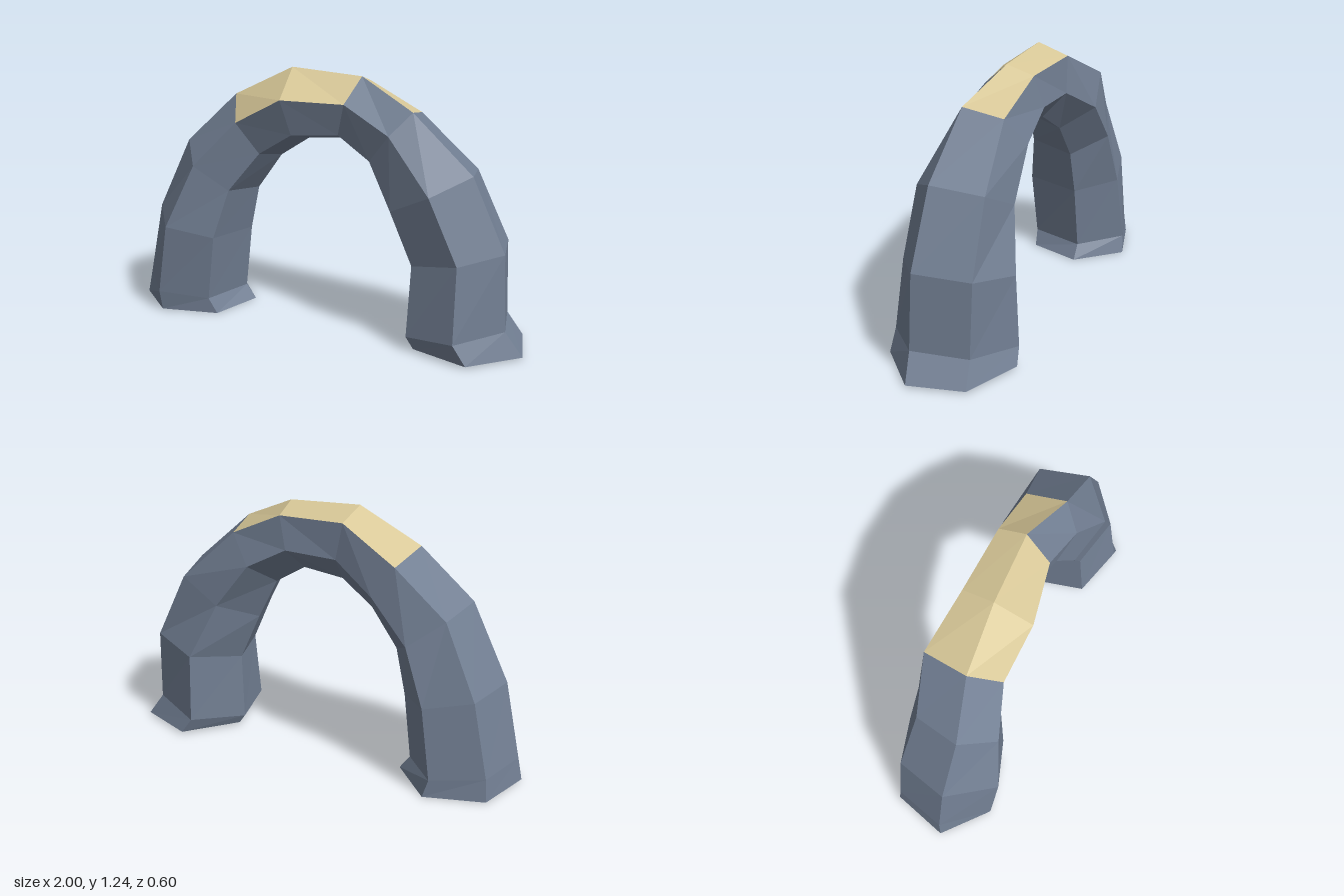
import * as THREE from 'three';

// Six-sided cross-sections from the right foot over the crown to the left foot:
// outer corner x, y, inner corner x, y, then z of outer, front, back and back-outer corners
const RINGS = [
  [-1.0, 0.015, -0.45, 0.01, 0.10, 0.27, -0.26, -0.17],
  [-0.98, 0.13, -0.50, 0.08, 0.09, 0.285, -0.25, -0.16],
  [-0.90, 0.50, -0.46, 0.40, 0.09, 0.30, -0.23, -0.16],
  [-0.72, 0.86, -0.41, 0.62, 0.09, 0.24, -0.21, -0.13],
  [-0.48, 1.10, -0.28, 0.80, 0.03, 0.17, -0.21, -0.19],
  [-0.18, 1.25, -0.12, 0.905, 0.015, 0.19, -0.15, -0.14],
  [0.17, 1.23, 0.08, 0.925, 0.0, 0.13, -0.16, -0.13],
  [0.45, 1.10, 0.23, 0.83, 0.07, 0.16, -0.18, -0.12],
  [0.74, 0.84, 0.33, 0.63, 0.07, 0.225, -0.20, -0.17],
  [0.90, 0.50, 0.43, 0.40, 0.07, 0.22, -0.27, -0.19],
  [0.92, 0.14, 0.42, 0.07, 0.08, 0.27, -0.285, -0.18],
  [1.0, 0.02, 0.45, 0.025, 0.055, 0.265, -0.30, -0.20],
];
const SIDES = 6;

// Corners run outer, front outer, front inner, inner, back inner, back outer
function ringCorners([ax, ay, dx, dy, zA, zB, zE, zF]) {
  const z = [zA, zB, zB * 0.73, zE * 0.25, zE, zF];
  return z.map((cz, k) => {
    const angle = THREE.MathUtils.degToRad(15 + 60 * k);
    const t = 0.5 + (0.5 * Math.cos(angle)) / Math.cos(Math.PI / 12);
    return [dx + (ax - dx) * t, dy + (ay - dy) * t, cz];
  });
}

function meshFrom(name, triangles, material) {
  const geometry = new THREE.BufferGeometry();
  geometry.setAttribute('position', new THREE.Float32BufferAttribute(triangles.flat(), 3));
  geometry.computeVertexNormals();
  const mesh = new THREE.Mesh(geometry, material);
  mesh.name = name;
  return mesh;
}

export function createModel() {
  const stone = new THREE.MeshStandardMaterial({ color: 0x727f93, flatShading: true });
  stone.name = 'slate stone';
  const sand = new THREE.MeshStandardMaterial({ color: 0xd8c898, flatShading: true });
  sand.name = 'pale sand';

  const rings = RINGS.map(ringCorners);
  const rock = [], crown = [], feet = [];

  // Skin of the arch; the top and upper front faces of the crown are sandy
  for (let i = 0; i < rings.length - 1; i++) {
    for (let k = 0; k < SIDES; k++) {
      const n = (k + 1) % SIDES;
      const a = rings[i][k], b = rings[i][n], c = rings[i + 1][n], d = rings[i + 1][k];
      const sandy = (k === 5 && i >= 4 && i <= 6) || (k === 0 && i >= 4 && i <= 5);
      (sandy ? crown : rock).push(a, b, c, a, c, d);
    }
  }

  // Undersides of both feet
  const first = rings[0], last = rings[rings.length - 1];
  for (let k = 1; k < SIDES - 1; k++) {
    feet.push(first[0], first[k + 1], first[k]);
    feet.push(last[0], last[k], last[k + 1]);
  }

  const group = new THREE.Group();
  group.name = 'rockArch';
  group.add(
    meshFrom('archRock', rock, stone),
    meshFrom('sandyCrown', crown, sand),
    meshFrom('footUndersides', feet, stone),
  );
  return group;
}
